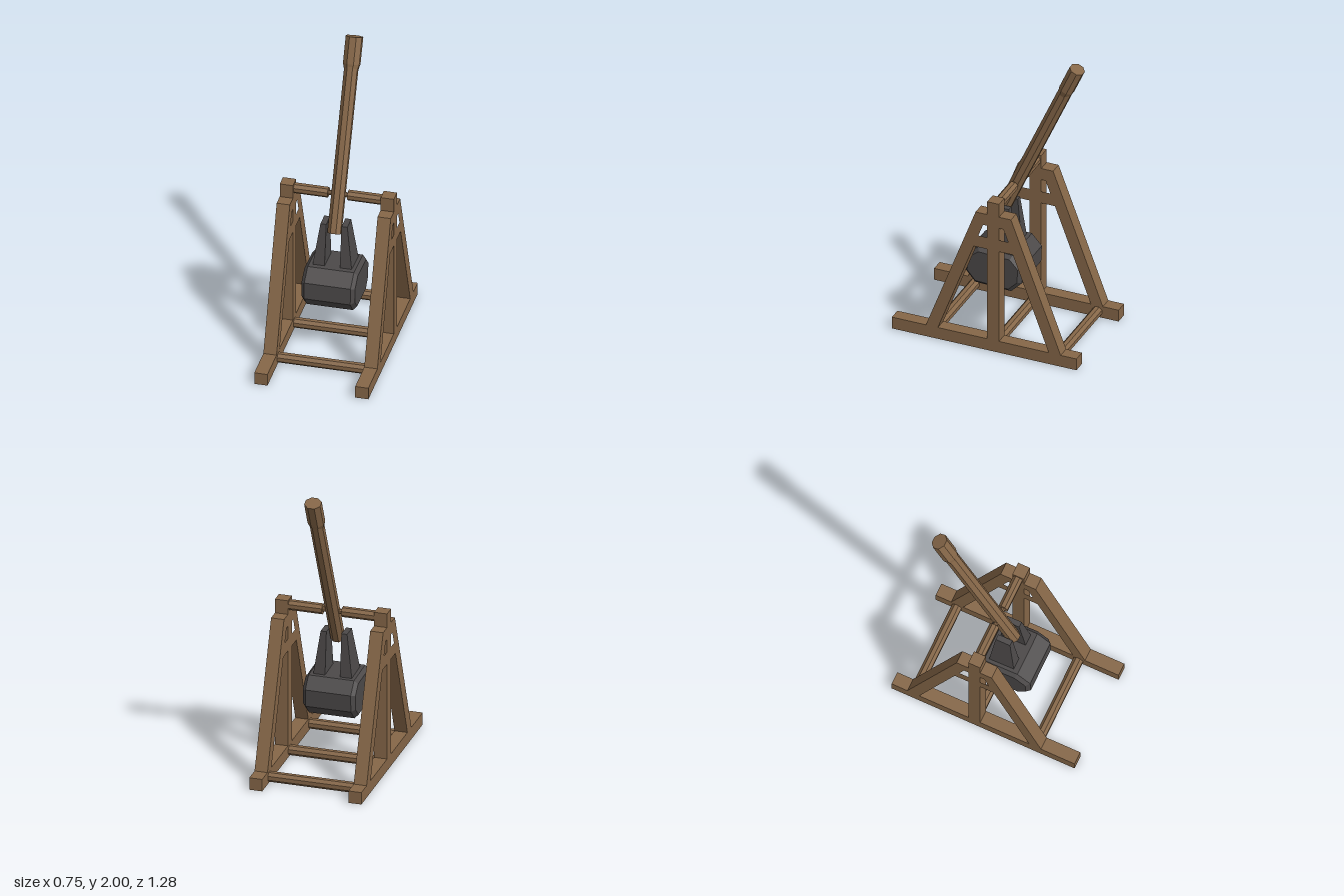
import * as THREE from 'three';

const wood = new THREE.MeshStandardMaterial({ color: 0x866748, flatShading: true });
wood.name = 'wood';
const iron = new THREE.MeshStandardMaterial({ color: 0x4c4949, flatShading: true });
iron.name = 'dark iron';

const AXLE_Y = 1.053, AXLE_Z = -0.065;
const SIDE_X = 0.33, SIDE_W = 0.086;

function add(parent, name, geometry, material, x = 0, y = 0, z = 0) {
  const mesh = new THREE.Mesh(geometry, material);
  mesh.name = name;
  mesh.position.set(x, y, z);
  parent.add(mesh);
  return mesh;
}

// Octagonal bar along y, measured across its flats
function octagon(halfTop, halfBottom, length) {
  const k = 1 / Math.cos(Math.PI / 8);
  return new THREE.CylinderGeometry(halfTop * k, halfBottom * k, length, 8).rotateY(Math.PI / 8);
}

const crossBar = (half, length) => octagon(half, half, length).rotateZ(Math.PI / 2);

// Points are [z, y]; the extrusion runs along x
const toShape = (points, Type = THREE.Shape) =>
  new Type(points.map(([z, y]) => new THREE.Vector2(-z, y)));

// A-shaped frame: splayed legs, tie beam and cap, centred on the axle
function aFrameGeometry() {
  const outer = y => 0.4675 - (y - 0.083) * 0.376;
  const inner = y => outer(y) - 0.083;
  const c = AXLE_Z + 0.002;
  const pts = list => list.map(([z, y]) => [c + z, y]);
  const shape = toShape(pts([
    [outer(0.04), 0.04], [outer(1), 1], [-outer(1), 1], [-outer(0.04), 0.04],
    [-inner(0.04), 0.04], [-inner(0.745), 0.745], [inner(0.745), 0.745], [inner(0.04), 0.04],
  ]));
  shape.holes.push(toShape(pts([
    [inner(0.83), 0.83], [inner(0.917), 0.917], [-inner(0.917), 0.917], [-inner(0.83), 0.83],
  ]), THREE.Path));
  return new THREE.ExtrudeGeometry(shape, { depth: SIDE_W, bevelEnabled: false })
    .translate(0, 0, -SIDE_W / 2).rotateY(Math.PI / 2);
}

// Octagonal block with small bevels at both ends
function weightGeometry() {
  const bevel = 0.024, hz = 0.197, hy = 0.133;
  const shape = toShape([
    [hz, 0.06], [0.11, hy], [-0.125, hy], [-hz, 0.06],
    [-hz, -0.055], [-0.125, -hy], [0.125, -hy], [hz, -0.055],
  ]);
  const depth = 0.35 - 2 * bevel;
  return new THREE.ExtrudeGeometry(shape, {
    depth, bevelEnabled: true, bevelSegments: 1,
    bevelSize: bevel, bevelThickness: bevel, bevelOffset: -bevel,
  }).translate(0, 0, -depth / 2).rotateY(Math.PI / 2);
}

// Hanger tapering upward with a straight inner face
function hangerGeometry(side) {
  const geometry = new THREE.BoxGeometry(1, 1, 1);
  const p = geometry.attributes.position;
  for (let i = 0; i < p.count; i++) {
    const top = p.getY(i) > 0;
    const isOuter = p.getX(i) * side > 0;
    const front = p.getZ(i) > 0;
    p.setXYZ(i,
      side * (isOuter ? (top ? 0.088 : 0.132) : 0.05),
      top ? 0.887 : 0.57,
      top ? (front ? 0.055 : -0.045) : (front ? 0.105 : -0.075));
  }
  geometry.computeVertexNormals();
  return geometry;
}

export function createModel() {
  const model = new THREE.Group();
  model.name = 'catapult';

  // Side frames
  for (const side of [-1, 1]) {
    const frame = new THREE.Group();
    frame.name = side > 0 ? 'leftFrame' : 'rightFrame';
    frame.position.x = side * SIDE_X;
    add(frame, 'baseBeam', new THREE.BoxGeometry(SIDE_W, 0.083, 1.28), wood, 0, 0.0415, 0);
    add(frame, 'post', new THREE.BoxGeometry(SIDE_W, 1.095, 0.082), wood, 0, 0.5475, -0.062);
    add(frame, 'aFrame', aFrameGeometry(), wood);
    model.add(frame);
    // Thick half of the axle
    add(model, 'axleSleeve', crossBar(0.032, 0.23), wood, side * 0.18, AXLE_Y, AXLE_Z);
  }

  // Cross bars at the base and the thin axle core
  for (const z of [0.358, AXLE_Z, -0.492])
    add(model, 'baseCrossBar', crossBar(0.032, 0.58), wood, 0, 0.041, z);
  add(model, 'axleCore', crossBar(0.015, 0.16), wood, 0, AXLE_Y, AXLE_Z);

  // Throwing arm, tilted about the axle
  const arm = new THREE.Group();
  arm.name = 'throwingArm';
  arm.position.set(0, AXLE_Y, AXLE_Z);
  arm.rotation.x = -0.4215;
  add(arm, 'armBeam', octagon(0.043, 0.043, 1.165), wood, 0, 0.3275, 0);
  const depthScale = 0.88;
  add(arm, 'armHead', octagon(0.053, 0.053, 0.176).scale(1, 1, depthScale), wood, 0, 0.928, 0);
  add(arm, 'armCollar', octagon(0.053, 0.043, 0.04).scale(1, 1, depthScale), wood, 0, 0.82, 0);
  model.add(arm);

  // Counterweight and its hangers
  const weight = add(model, 'counterweight', weightGeometry(), iron, 0, 0.468, 0.031);
  weight.rotation.x = -0.04;
  for (const side of [-1, 1])
    add(model, 'weightHanger', hangerGeometry(side), iron);

  return model;
}
